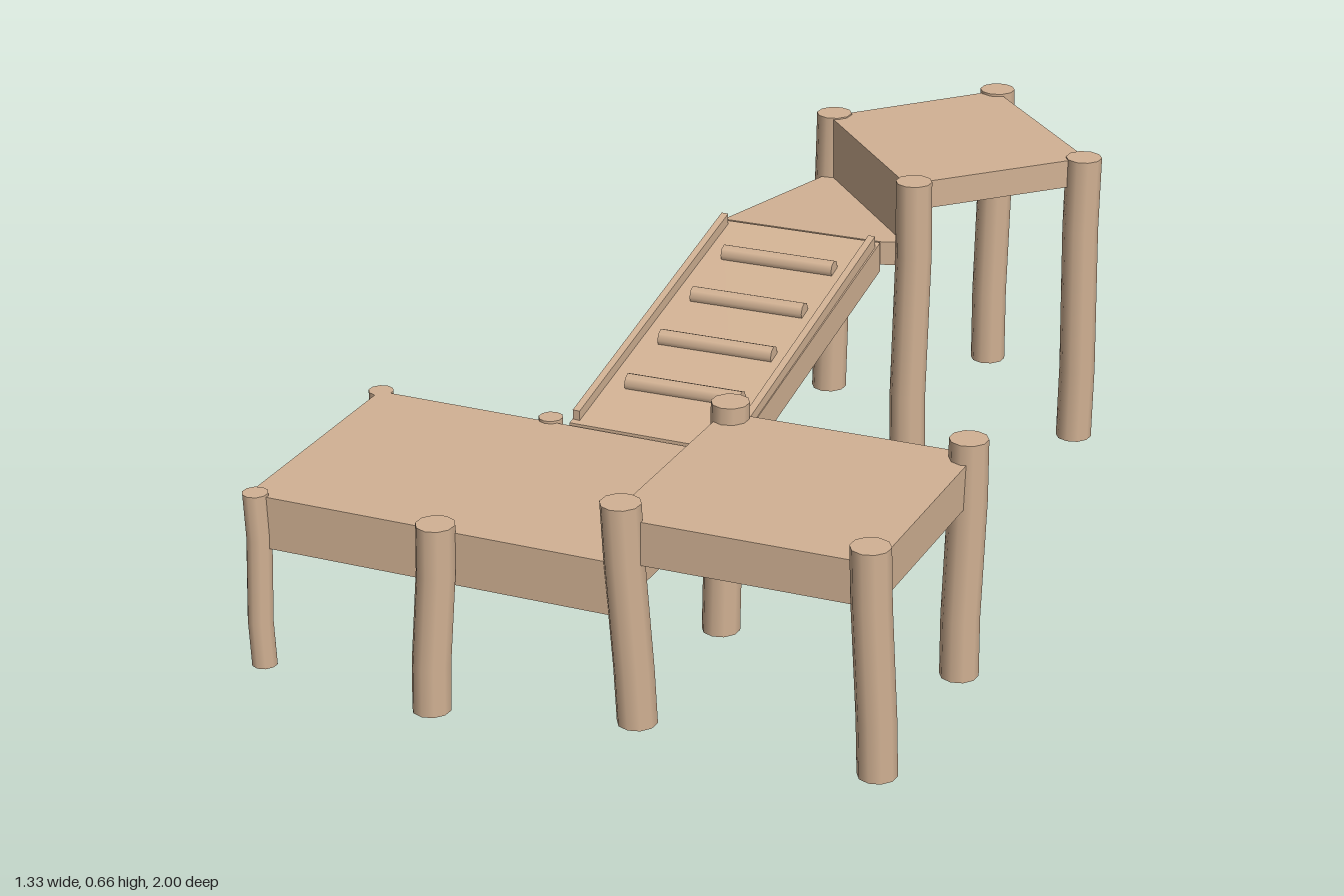
import * as THREE from 'three';

const wood = new THREE.MeshStandardMaterial({ color: 0xd2b294 });
wood.name = 'tan wood';

function add(group, name, geometry) {
  const mesh = new THREE.Mesh(geometry, wood);
  mesh.name = name;
  group.add(mesh);
  return mesh;
}

// Flat-sided prism; each corner is [x, z, top, bottom], listed clockwise as seen from above with z down
function prism(corners) {
  const n = corners.length, pos = [];
  const top = corners.map(([x, z, t]) => [x, t, z]);
  const low = corners.map(([x, z, , b]) => [x, b, z]);
  const tri = (a, b, c) => pos.push(...a, ...b, ...c);
  for (let i = 1; i < n - 1; i++) {
    tri(top[0], top[i + 1], top[i]);
    tri(low[0], low[i], low[i + 1]);
  }
  for (let i = 0; i < n; i++) {
    const j = (i + 1) % n;
    tri(top[i], top[j], low[j]);
    tri(top[i], low[j], low[i]);
  }
  const g = new THREE.BufferGeometry();
  g.setAttribute('position', new THREE.Float32BufferAttribute(pos, 3));
  g.computeVertexNormals();
  return g;
}

const slab = (points, top, bottom) => prism(points.map(([x, z]) => [x, z, top, bottom]));

// Round post leaning from its foot to its head, with a slight bend on the way
function post(foot, head, y0, y1, radius, bend) {
  const g = new THREE.CylinderGeometry(radius, radius, 1, 10, 4);
  const p = g.attributes.position;
  for (let i = 0; i < p.count; i++) {
    const t = p.getY(i) + 0.5;
    const wave = bend * Math.sin(t * Math.PI * 2);
    p.setXYZ(i,
      p.getX(i) + foot[0] + (head[0] - foot[0]) * t + wave,
      y0 + (y1 - y0) * t,
      p.getZ(i) + foot[1] + (head[1] - foot[1]) * t + wave * 0.5);
  }
  return g;
}

export function createModel() {
  const model = new THREE.Group();
  model.name = 'climbing platforms';

  // Decks
  add(model, 'lowDeck', slab([[-0.64, 0.46], [0.10, 0.415], [0.13, 0.92], [-0.605, 0.97]], 0.37, 0.265));
  add(model, 'middleDeck', slab([[0.10, 0.425], [0.60, 0.385], [0.632, 0.88], [0.13, 0.92]], 0.46, 0.375));
  add(model, 'highDeck', slab([[-0.20, -0.665], [0.04, -0.96], [0.375, -0.66], [0.12, -0.365]], 0.655, 0.597));
  add(model, 'landing', slab([[-0.285, -0.315], [-0.21, -0.655], [0.11, -0.365], [0.06, -0.345]], 0.525, 0.475));
  add(model, 'stepBoard', slab([[-0.21, -0.655], [-0.20, -0.665], [0.12, -0.365], [0.11, -0.355]], 0.655, 0.48));

  // Ramp
  add(model, 'ramp', prism([
    [-0.285, -0.31, 0.525, 0.462], [0.06, -0.34, 0.525, 0.462],
    [0.11, 0.405, 0.372, 0.312], [-0.232, 0.428, 0.372, 0.312]]));

  // Ramp side rails
  for (const [name, x, z] of [['leftRail', 0.043, -0.32], ['rightRail', -0.282, -0.30]]) {
    const w = 0.015, ex = x + 0.05, ez = z + 0.715;
    add(model, name, prism([
      [x, z, 0.545, 0.515], [x + w, z, 0.545, 0.515],
      [ex + w, ez, 0.394, 0.365], [ex, ez, 0.394, 0.365]]));
  }

  // Ramp rungs
  for (let i = 0; i < 4; i++) {
    const g = new THREE.CylinderGeometry(0.018, 0.018, 0.24, 8);
    g.rotateZ(Math.PI / 2);
    const rung = add(model, 'rung', g);
    rung.rotation.y = 0.085;
    rung.position.set(-0.1 + i * 0.011, 0.506 - i * 0.0325, -0.2 + i * 0.156);
  }

  // Posts: foot, head, foot height, head height, radius, bend
  const posts = [
    ['lowPost', [-0.642, 0.45], [-0.64, 0.455], 0, 0.37, 0.025, 0.003],
    ['lowPost', [-0.603, 0.95], [-0.59, 0.967], 0.01, 0.375, 0.025, -0.006],
    ['lowPost', [-0.277, 0.44], [-0.275, 0.425], 0, 0.375, 0.024, 0.003],
    ['lowPost', [-0.228, 0.962], [-0.213, 0.95], 0.01, 0.385, 0.037, -0.004],
    ['middlePost', [0.155, 0.875], [0.155, 0.923], 0.035, 0.495, 0.038, 0.002],
    ['middlePost', [0.627, 0.855], [0.625, 0.888], 0.035, 0.497, 0.037, 0.002],
    ['middlePost', [0.6, 0.445], [0.592, 0.403], 0.035, 0.497, 0.037, -0.003],
    ['middlePost', [0.12, 0.48], [0.122, 0.44], 0.035, 0.492, 0.037, -0.003],
    ['landingPost', [-0.275, -0.365], [-0.287, -0.358], 0.035, 0.497, 0.036, 0.003],
    ['highPost', [-0.207, -0.655], [-0.205, -0.67], 0.035, 0.658, 0.037, 0.003],
    ['highPost', [0.115, -0.367], [0.12, -0.37], 0.035, 0.658, 0.037, -0.004],
    ['highPost', [0.371, -0.65], [0.372, -0.655], 0.035, 0.658, 0.037, 0.003],
    ['highPost', [0.039, -0.952], [0.044, -0.96], 0.035, 0.66, 0.037, -0.003]];
  for (const [name, ...shape] of posts) add(model, name, post(...shape));

  return model;
}
